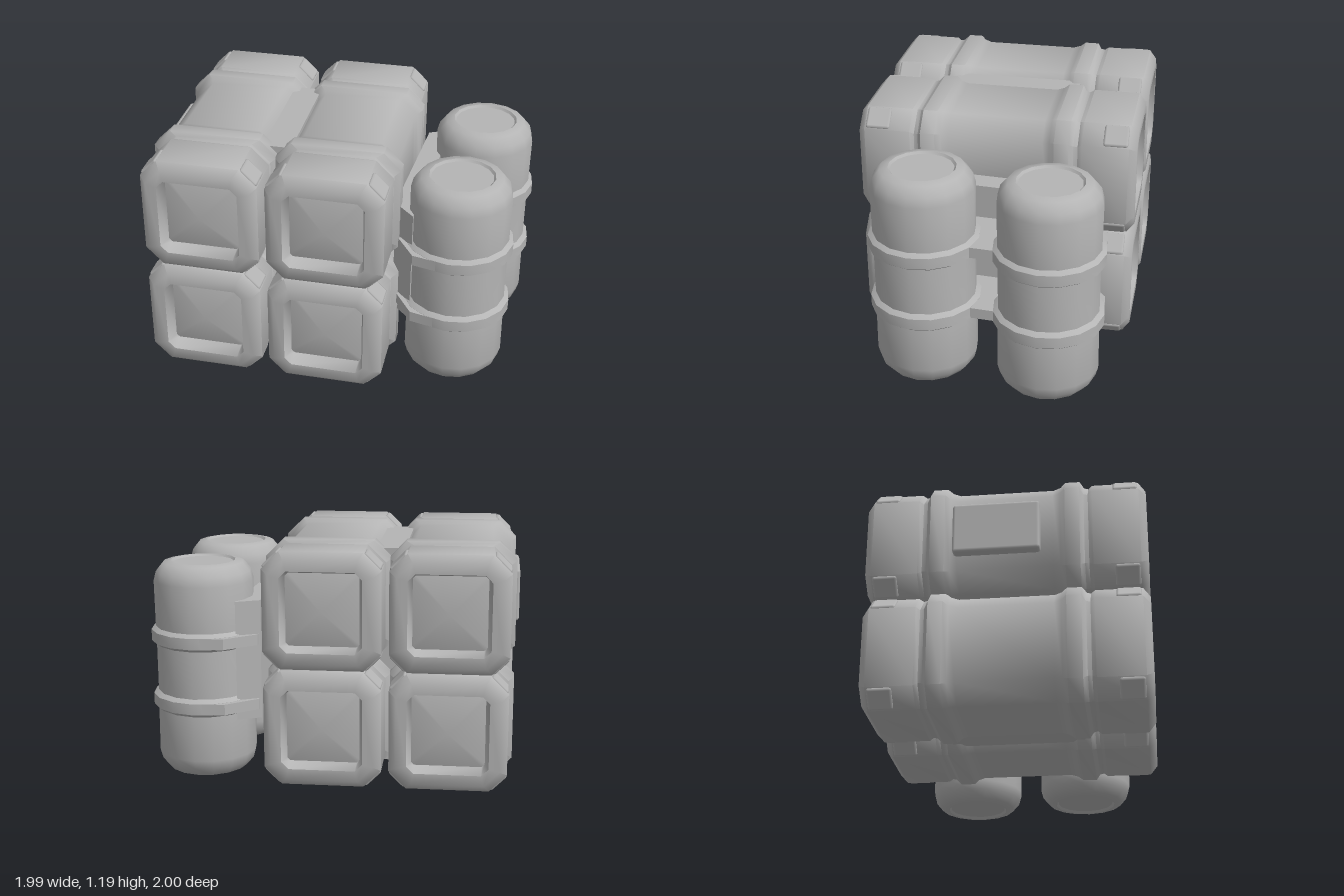
import * as THREE from 'three';
import { toCreasedNormals } from 'three/addons/utils/BufferGeometryUtils.js';
import { RoundedBoxGeometry } from 'three/addons/geometries/RoundedBoxGeometry.js';

const grey = new THREE.MeshStandardMaterial({ color: 0xb4b4b4 });
grey.name = 'plainGrey';

function part(name, geometry, parent) {
  const mesh = new THREE.Mesh(geometry, grey);
  mesh.name = name;
  parent.add(mesh);
  return mesh;
}

// Chamfered rectangle: half width, half height, chamfer; counter-clockwise
function section(w, h, c) {
  return [[w, c - h], [w, h - c], [w - c, h], [c - w, h],
    [-w, h - c], [-w, c - h], [c - w, -h], [w - c, -h]];
}

// Skin over sections along z; first and last stations are collapsed points
function loft(stations) {
  const pos = [], index = [], n = 8;
  for (const [z, w, h, c] of stations) for (const [x, y] of section(w, h, c)) pos.push(x, y, z);
  for (let i = 0; i < stations.length - 1; i++) {
    for (let j = 0; j < n; j++) {
      const a = i * n + j, b = i * n + (j + 1) % n;
      if (i > 0) index.push(a, b, b + n);
      if (i < stations.length - 2) index.push(a, b + n, a + n);
    }
  }
  const g = new THREE.BufferGeometry();
  g.setAttribute('position', new THREE.Float32BufferAttribute(pos, 3));
  g.setIndex(index);
  return toCreasedNormals(g, 0.9);
}

// Half of a crate from the middle outward: body, strap, groove, end cap, recess, pyramid
const half = [
  [0.23, 0.276, 0.276, 0.085],
  [0.265, 0.286, 0.284, 0.085],
  [0.29, 0.31, 0.296, 0.085],
  [0.36, 0.31, 0.296, 0.085],
  [0.38, 0.28, 0.28, 0.09],
  [0.4, 0.275, 0.277, 0.09],
  [0.42, 0.285, 0.286, 0.085],
  [0.645, 0.285, 0.286, 0.085],
  [0.68, 0.25, 0.25, 0.075],
  [0.68, 0.197, 0.197, 0.035],
  [0.605, 0.178, 0.178, 0.015],
  [0.66, 0, 0, 0],
];
const crateGeometry = loft([
  ...half.map(([z, w, h, c]) => [-z, w, h, c]).reverse(),
  ...half,
]);

function makeCrate() {
  const crate = new THREE.Group();
  crate.name = 'crate';
  part('crateShell', crateGeometry, crate);
  // Slightly raised guards on the corners of both end caps
  const guard = new RoundedBoxGeometry(0.11, 0.03, 0.12, 1, 0.012);
  for (const sx of [-1, 1]) for (const sy of [-1, 1]) for (const sz of [-1, 1]) {
    const m = part('cornerGuard', guard, crate);
    m.position.set(sx * 0.239, sy * 0.24, sz * 0.58);
    m.rotation.z = -sx * sy * Math.PI / 4;
  }
  return crate;
}

function makeBarrelGeometry() {
  const lower = [[0, 0.015], [0.15, 0.015], [0.16, 0.004], [0.2, 0.012], [0.236, 0.055], [0.248, 0.1],
    [0.246, 0.33], [0.268, 0.347], [0.268, 0.403], [0.244, 0.42]];
  const mid = 0.54;
  const profile = [...lower, ...lower.map(([r, y]) => [r, 2 * mid - y]).reverse()];
  const g = new THREE.LatheGeometry(profile.map(([r, y]) => new THREE.Vector2(r, y)), 16);
  return toCreasedNormals(g, 0.75);
}

// Flat outline (x, z) raised from y0 to y1
function slab(points, y0, y1) {
  const shape = new THREE.Shape(points.map(([x, z]) => new THREE.Vector2(x, z)));
  const g = new THREE.ExtrudeGeometry(shape, { depth: y1 - y0, bevelEnabled: false });
  g.rotateX(Math.PI / 2);
  g.translate(0, y1, 0);
  return g;
}

export function createModel() {
  const model = new THREE.Group();
  model.name = 'crateAndBarrelStack';

  // Two by two stack of crates
  const crates = new THREE.Group();
  crates.name = 'crateStack';
  crates.position.set(-0.133, 0, 0.13);
  crates.rotation.y = 0.701;
  for (const x of [-0.303, 0.303]) for (const y of [0.315, 0.895]) {
    const crate = makeCrate();
    crate.position.set(x, y, 0);
    crates.add(crate);
  }
  // Filler that closes the seam between the two columns
  part('seamFiller', new THREE.BoxGeometry(0.14, 1.09, 0.66), crates).position.y = 0.605;
  // Panel on the outer side of one upper crate
  const panel = part('sidePanel', new RoundedBoxGeometry(0.07, 0.26, 0.42, 1, 0.015), crates);
  panel.position.set(-0.595, 0.91, -0.04);
  model.add(crates);

  // Pair of barrels in a holder
  const pair = new THREE.Group();
  pair.name = 'barrelPair';
  pair.position.set(0.55, 0, -0.48);
  pair.rotation.y = 0.634;
  const barrel = makeBarrelGeometry();
  for (const s of [-1, 1]) part('barrel', barrel, pair).position.set(0, 0, s * 0.304);

  // Back plate and two clamps that wrap the crate side of the barrels
  part('holderPlate', slab([[-0.31, -0.4], [-0.2, -0.46], [-0.2, 0.46], [-0.31, 0.36]], 0.3, 0.9), pair);
  const clamp = [[0.05, -0.56], [0, -0.57], [-0.16, -0.545], [-0.3, -0.42], [-0.315, 0.36],
    [-0.18, 0.54], [0, 0.57], [0.05, 0.56], [0.05, 0.3], [0.1, 0.08], [0.1, -0.08], [0.05, -0.3]];
  for (const y of [0.375, 0.705]) part('holderClamp', slab(clamp, y - 0.027, y + 0.027), pair);
  model.add(pair);

  return model;
}
